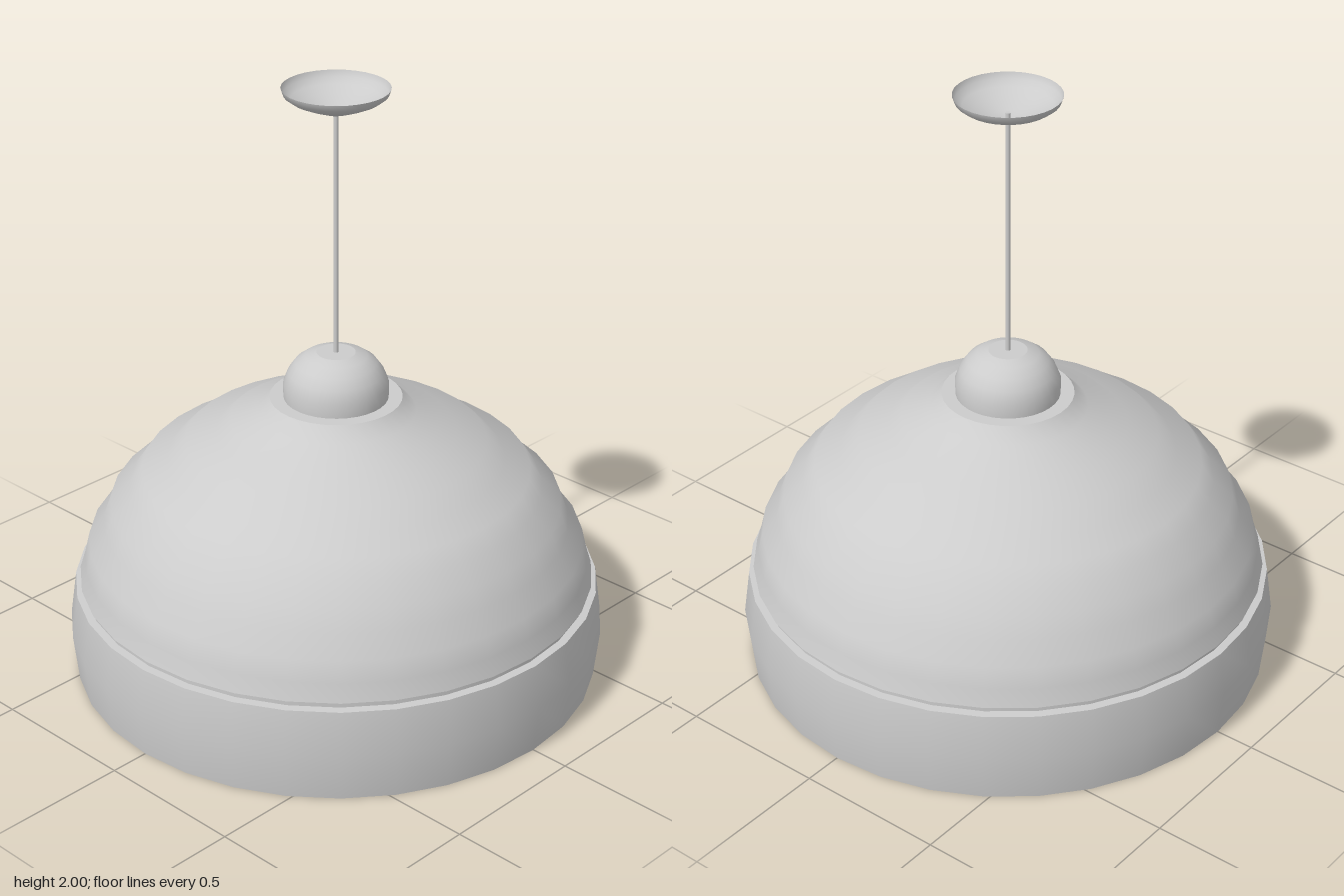
import * as THREE from 'three';

const material = new THREE.MeshStandardMaterial({ color: 0xcccccc, side: THREE.DoubleSide });
const SEGMENTS = 32;

// Revolves one or more smooth profiles (listed bottom to top); edges between profiles stay sharp.
function revolve(name, ...profiles) {
  const group = new THREE.Group();
  group.name = name;
  profiles.forEach((points, i) => {
    const profile = points.map(([r, y]) => new THREE.Vector2(r, y));
    const mesh = new THREE.Mesh(new THREE.LatheGeometry(profile, SEGMENTS), material);
    mesh.name = `${name}Surface${i + 1}`;
    group.add(mesh);
  });
  return group;
}

// Inner wall: the outer profile moved inwards and run the other way.
const inset = (points, dr, dy) => points.map(([r, y]) => [Math.max(r - dr, 0), y - dy]).reverse();

export function createModel() {
  const model = new THREE.Group();
  model.name = 'pendantLamp';

  // Bulging lower band, with its rim and inner wall
  const band = [[0.87, 0], [0.887, 0.16], [0.866, 0.31]];
  const bandInner = [[0.848, 0.31], [0.869, 0.16], [0.855, 0]];
  model.add(revolve('lowerBand', band, [band[2], bandInner[0]], bandInner, [bandInner[2], band[0]]));

  // Narrow recessed groove joining the band and the dome
  model.add(revolve('groove',
    [[0.866, 0.31], [0.84, 0.312]],
    [[0.84, 0.312], [0.84, 0.332]],
    [[0.84, 0.332], [0.85, 0.332]],
    [[0.828, 0.312], [0.848, 0.31]]));

  // Stepped, scalloped dome
  const dome = [
    [0.85, 0.332], [0.832, 0.39], [0.815, 0.46], [0.765, 0.525], [0.74, 0.595],
    [0.675, 0.65], [0.635, 0.71], [0.55, 0.745], [0.49, 0.81], [0.39, 0.84],
    [0.345, 0.882], [0.26, 0.91], [0.215, 0.957],
  ];
  const domeInner = inset(dome, 0.018, 0.02);
  model.add(revolve('dome', dome, [[0.215, 0.957], [0, 0.957]], domeInner, [[0, 0.937], domeInner[0]]));

  // Rounded cap with a small flat top
  model.add(revolve('cap',
    [[0.17, 0.955], [0.171, 1.005], [0.155, 1.045], [0.132, 1.077], [0.1, 1.1], [0.063, 1.112]],
    [[0.063, 1.112], [0, 1.112]]));

  // Cable
  const cable = new THREE.Mesh(new THREE.CylinderGeometry(0.008, 0.008, 0.84, 12), material);
  cable.name = 'cable';
  cable.position.y = 1.52;
  model.add(cable);

  // Shallow ceiling canopy, open at the top
  model.add(revolve('ceilingCanopy',
    [[0, 1.92], [0.05, 1.925], [0.105, 1.947], [0.14, 1.963], [0.163, 1.98], [0.17, 2]]));

  return model;
}
